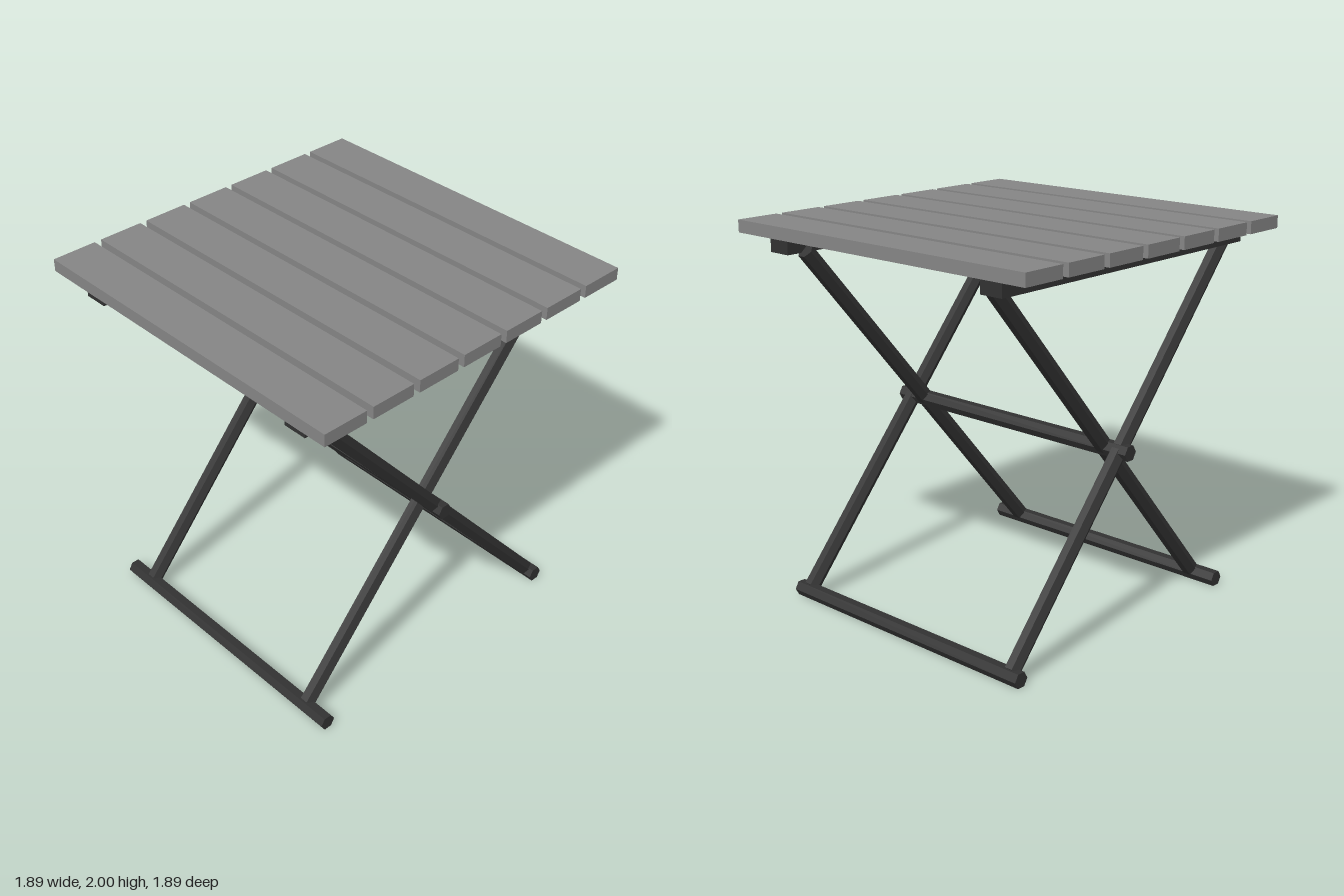
import * as THREE from 'three';

const R = 0.0425; // hexagonal tube radius
const CROSS_Y = 0.945; // height where the legs cross

export function createModel() {
  const grey = new THREE.MeshStandardMaterial({ color: 0x858585 });
  grey.name = 'slatGrey';
  const dark = new THREE.MeshStandardMaterial({ color: 0x323232 });
  dark.name = 'frameCharcoal';

  const table = new THREE.Group();
  table.name = 'foldingTable';

  const add = (name, geometry, material, x, y, z) => {
    const mesh = new THREE.Mesh(geometry, material);
    mesh.name = name;
    mesh.position.set(x, y, z);
    table.add(mesh);
    return mesh;
  };

  // six-sided tube with crisp facets
  const hexTube = (length) => new THREE.CylinderGeometry(R, R, length, 6).toNonIndexed();
  const facet = (geometry) => {
    geometry.computeVertexNormals();
    return geometry;
  };

  // seven slats running front to back
  const slat = new THREE.BoxGeometry(0.238, 0.064, 1.89);
  for (let i = -3; i <= 3; i++) add('slat', slat, grey, i * 0.2755, 1.968, 0);

  // beams under the slats
  const beam = new THREE.BoxGeometry(1.784, 0.09, 0.127);
  for (const side of [-1, 1]) add('beam', beam, dark, 0, 1.899, side * 0.703);

  // crossed legs: the outer pair leans left at the foot, the inner pair right
  const bottom = new THREE.Vector2(-0.77, 0.055);
  const top = new THREE.Vector2(0.796, 1.865);
  const leg = facet(hexTube(bottom.distanceTo(top)));
  const lean = Math.atan2(top.x - bottom.x, top.y - bottom.y);
  const midX = (top.x + bottom.x) / 2;
  const midY = (top.y + bottom.y) / 2;
  for (const side of [-1, 1]) {
    add('outerLeg', leg, dark, -midX, midY, side * 0.714).rotation.z = lean;
    add('innerLeg', leg, dark, midX, midY, side * 0.622).rotation.z = -lean;
  }

  // foot bars and the pivot bar, flat side down
  const bar = facet(hexTube(1.566).rotateY(Math.PI / 2).rotateX(Math.PI / 2));
  const flat = R * Math.cos(Math.PI / 6);
  for (const side of [-1, 1]) add('footBar', bar, dark, side * 0.784, flat, 0);
  add('pivotBar', bar, dark, 0, CROSS_Y, 0);

  return table;
}
